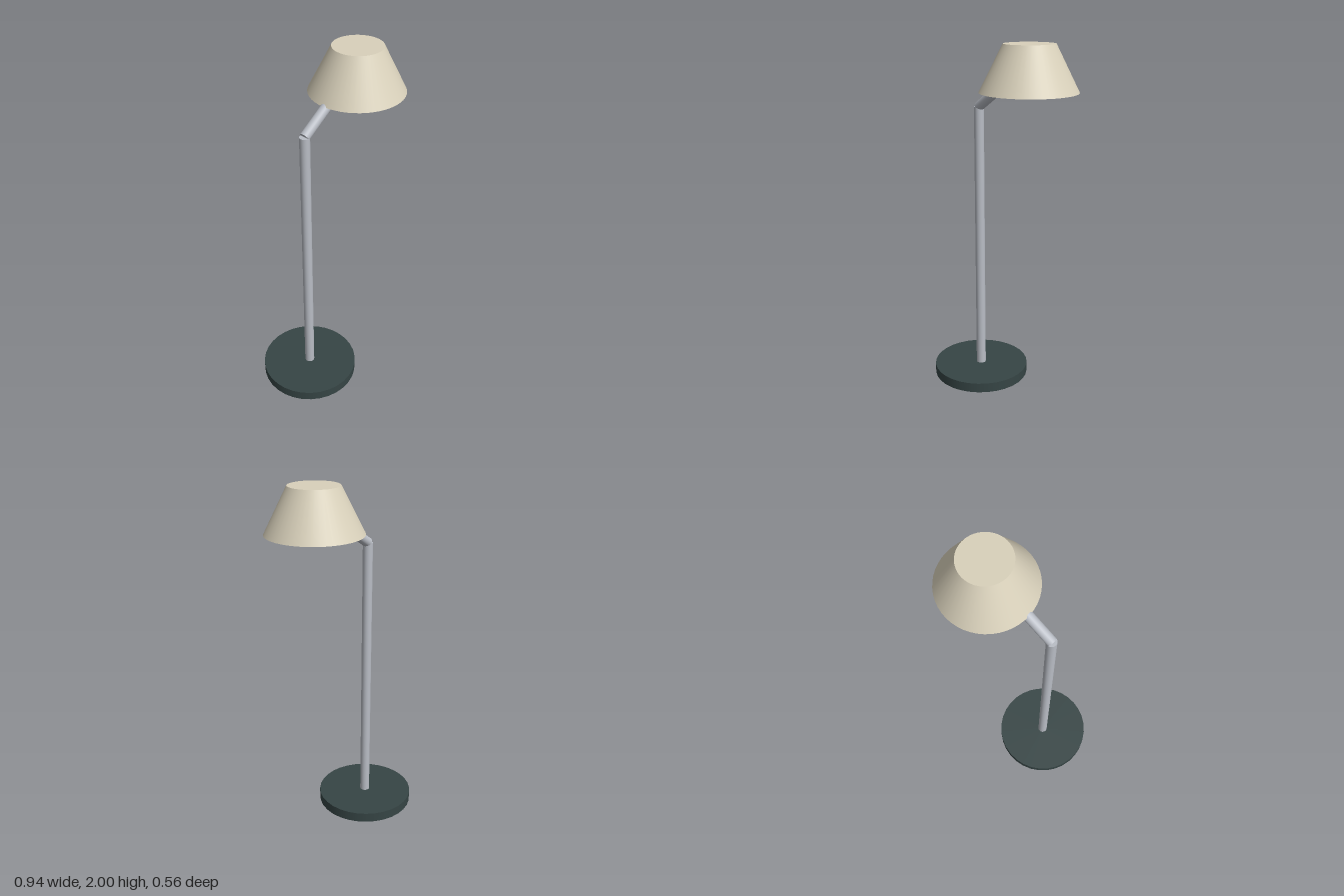
import * as THREE from 'three';

export function createModel() {
  const lamp = new THREE.Group();
  lamp.name = 'deskLamp';

  const material = (name, color) => {
    const m = new THREE.MeshStandardMaterial({ color });
    m.name = name;
    return m;
  };
  const darkGreen = material('darkGreen', 0x364545);
  const metal = material('brushedMetal', 0xb9bdc5);
  const cream = material('cream', 0xd9d1bb);

  // Closed round part running from one point to another
  const up = new THREE.Vector3(0, 1, 0);
  const rod = (name, mat, from, to, rFrom, rTo, sides) => {
    const a = new THREE.Vector3(...from);
    const b = new THREE.Vector3(...to);
    const dir = b.clone().sub(a);
    const mesh = new THREE.Mesh(
      new THREE.CylinderGeometry(rTo, rFrom, dir.length(), sides), mat);
    mesh.name = name;
    mesh.position.copy(a).add(b).multiplyScalar(0.5);
    mesh.quaternion.setFromUnitVectors(up, dir.normalize());
    lamp.add(mesh);
  };

  const poleX = -0.188;
  const shadeX = 0.208;

  // Weighted foot and upright
  rod('base', darkGreen, [poleX, 0, 0], [poleX, 0.057, 0], 0.282, 0.282, 32);
  rod('pole', metal, [poleX, 0.057, 0], [poleX, 1.64, 0], 0.028, 0.028, 24);

  // Sloping arm ending inside the shade
  rod('arm', metal, [poleX, 1.64, 0], [0.09, 1.826, 0], 0.028, 0.028, 24);

  // Tapered shade, closed at both ends
  rod('shade', cream, [shadeX, 1.756, 0], [shadeX, 2, 0], 0.26, 0.136, 48);

  return lamp;
}
